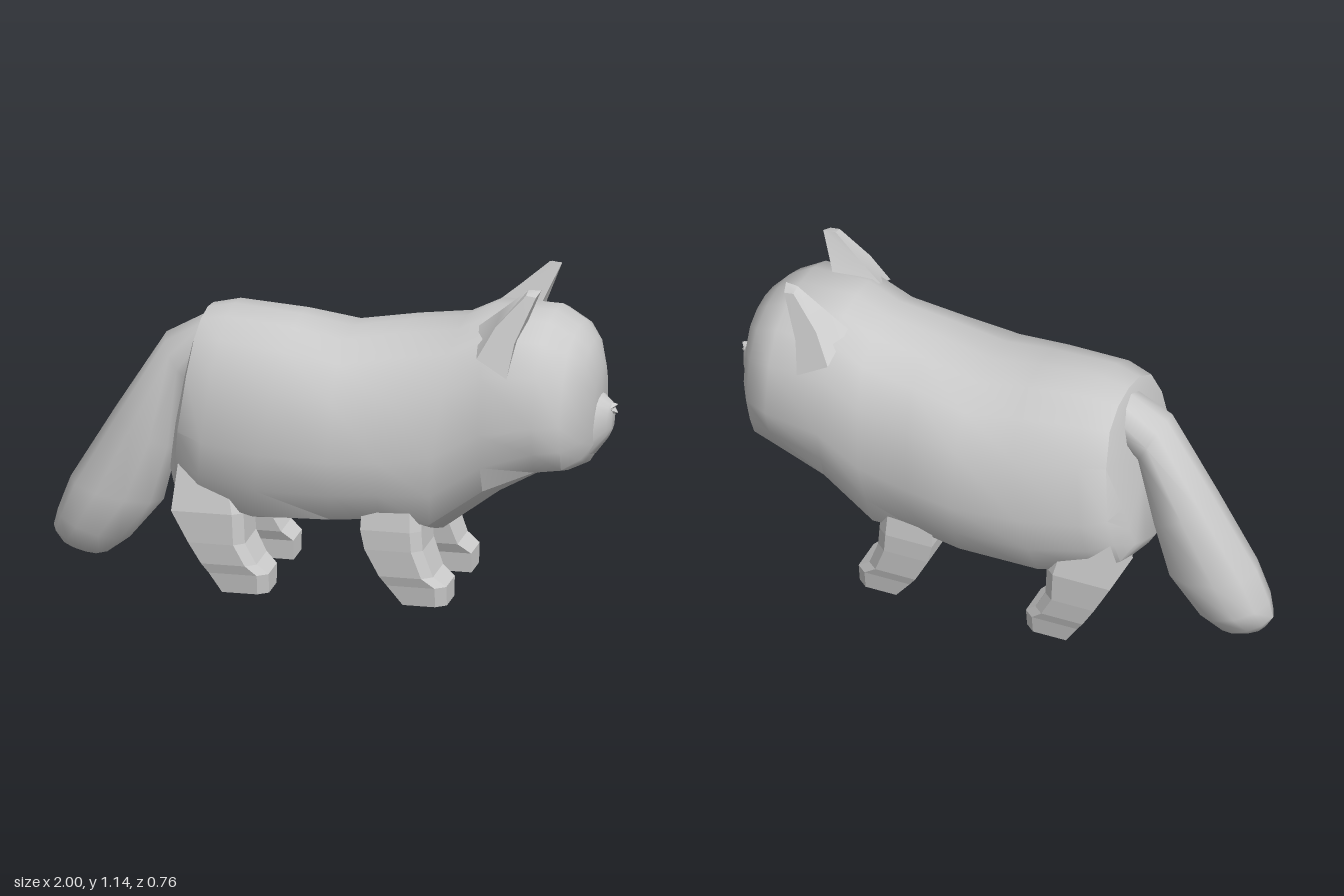
import * as THREE from 'three';
import { toCreasedNormals } from 'three/addons/utils/BufferGeometryUtils.js';

const SMOOTH = new THREE.MeshStandardMaterial({ color: 0xcccccc });
const FLAT = new THREE.MeshStandardMaterial({ color: 0xcccccc, flatShading: true });

// Closed skin over a row of equal-sized point loops, wound so that it faces outward
function loft(rings) {
  const n = rings[0].length;
  const pts = rings.flat().map((p) => new THREE.Vector3(...p));
  const tris = [];
  for (let r = 0; r < rings.length - 1; r++) {
    for (let i = 0; i < n; i++) {
      const a = r * n + i, b = r * n + (i + 1) % n;
      tris.push([a, b, b + n], [a, b + n, a + n]);
    }
  }
  const last = (rings.length - 1) * n;
  const centre = (start) => {
    const c = new THREE.Vector3();
    for (let i = 0; i < n; i++) c.addScaledVector(pts[start + i], 1 / n);
    return pts.push(c) - 1;
  };
  const c0 = centre(0), c1 = centre(last);
  for (let i = 0; i < n; i++) {
    const j = (i + 1) % n;
    tris.push([c0, j, i], [c1, last + i, last + j]);
  }
  const volume = tris.reduce((v, [a, b, c]) => v + pts[a].dot(pts[b].clone().cross(pts[c])), 0);
  const geometry = new THREE.BufferGeometry().setFromPoints(pts);
  geometry.setIndex(tris.flatMap(([a, b, c]) => (volume < 0 ? [a, c, b] : [a, b, c])));
  geometry.computeVertexNormals();
  return geometry;
}

// Half outline of a torso section as [width, height], from top to bottom
const HALF = [[0, 1], [0.33, 0.965], [0.64, 0.83], [0.86, 0.52], [1, 0], [0.91, -0.42], [0.8, -0.74], [0.42, -0.88], [0, -1]];
const OUTLINE = [...HALF, ...HALF.slice(1, -1).reverse().map(([w, h]) => [-w, h])];

// Leaning section: x at top and bottom, heights of top, widest line and bottom, half width
function section([xTop, xBot, top, mid, bot, w]) {
  return OUTLINE.map(([u, v]) => {
    const y = mid + v * (v > 0 ? top - mid : mid - bot);
    return [THREE.MathUtils.lerp(xBot, xTop, (y - bot) / (top - bot)), y, u * w];
  });
}

export function createModel() {
  const model = new THREE.Group();
  const add = (name, geometry, crease) => {
    const mesh = new THREE.Mesh(crease ? toCreasedNormals(geometry, crease) : geometry, crease ? SMOOTH : FLAT);
    mesh.name = name;
    model.add(mesh);
  };

  // Torso and head in one skin
  add('bodyAndHead', loft([
    [-0.47, -0.56, 0.9, 0.58, 0.34, 0.2],
    [-0.455, -0.53, 0.94, 0.57, 0.29, 0.28],
    [-0.36, -0.44, 0.96, 0.55, 0.25, 0.32],
    [-0.12, -0.25, 0.94, 0.53, 0.2, 0.355],
    [0.06, 0.05, 0.91, 0.53, 0.22, 0.38],
    [0.27, 0.2, 0.95, 0.53, 0.23, 0.35],
    [0.46, 0.38, 0.975, 0.56, 0.2, 0.338],
    [0.57, 0.58, 1.03, 0.65, 0.35, 0.325],
    [0.78, 0.76, 1.02, 0.69, 0.45, 0.335],
    [0.865, 0.85, 0.97, 0.69, 0.455, 0.295],
    [0.915, 0.9, 0.92, 0.69, 0.48, 0.2],
    [0.945, 0.93, 0.83, 0.68, 0.53, 0.11],
  ].map(section)), 0.9);

  // Muzzle
  add('muzzle', loft([
    [0.86, 0.85, 0.77, 0.64, 0.48, 0.2],
    [0.93, 0.92, 0.73, 0.63, 0.51, 0.115],
    [0.975, 0.965, 0.7, 0.64, 0.57, 0.055],
    [0.985, 0.98, 0.685, 0.645, 0.6, 0.03],
  ].map(section)), 0.9);

  // Nose
  const nose = [[0.705, 0], [0.69, 0.045], [0.675, 0.045], [0.648, 0], [0.675, -0.045], [0.69, -0.045]];
  add('nose', loft([
    nose.map(([y, z]) => [0.95, y, z]),
    nose.map(([y, z]) => [1 - Math.abs(z) * 0.4, 0.68 + (y - 0.68) * 0.55, z * 0.6]),
  ]));

  // Tail, sloping down behind: upper edge, lower edge, half width
  const tail = [
    [-0.44, 0.93, -0.44, 0.74, 0.085],
    [-0.6, 0.84, -0.51, 0.68, 0.105],
    [-0.78, 0.555, -0.56, 0.43, 0.115],
    [-0.94, 0.29, -0.61, 0.23, 0.12],
    [-0.985, 0.17, -0.73, 0.085, 0.11],
    [-1, 0.11, -0.81, 0.025, 0.075],
    [-0.97, 0.06, -0.83, 0.02, 0.045],
  ];
  add('tail', loft(tail.map(([x0, y0, x1, y1, w]) => Array.from({ length: 10 }, (_, i) => {
    const a = (i / 10) * Math.PI * 2, t = 0.5 - 0.5 * Math.cos(a);
    return [x0 + (x1 - x0) * t, y0 + (y1 - y0) * t, Math.sin(a) * w * 1.05];
  }))), 0.9);

  // Leg levels: height, back x, front x, inner z, outer z
  const legs = {
    front: [
      [0.4, 0.16, 0.36, 0.1, 0.28], [0.27, 0.155, 0.365, 0.1, 0.3], [0.2, 0.17, 0.37, 0.1, 0.3],
      [0.105, 0.22, 0.405, 0.11, 0.295], [0.07, 0.245, 0.45, 0.125, 0.285], [0, 0.3, 0.45, 0.13, 0.275],
    ],
    back: [
      [0.45, -0.5, -0.3, 0.1, 0.26], [0.29, -0.515, -0.265, 0.1, 0.3], [0.18, -0.455, -0.26, 0.1, 0.3],
      [0.105, -0.41, -0.22, 0.11, 0.295], [0.07, -0.385, -0.18, 0.125, 0.285], [0, -0.34, -0.18, 0.13, 0.275],
    ],
  };

  for (const [side, s] of [['left', -1], ['right', 1]]) {
    // Legs
    for (const [end, levels] of Object.entries(legs)) {
      add(`${end}${side === 'left' ? 'Left' : 'Right'}Leg`, loft(levels.map(([y, x0, x1, z0, z1]) => [
        [x0, y, s * z0], [x1, y, s * z0], [x1, y, s * (z1 - 0.03)], [x1 - 0.035, y, s * z1], [x0, y, s * z1],
      ])));
    }

    // Ears: inner front, outer front, outer back, inner back
    add(`${side}Ear`, loft([
      [[0.69, 0.97, 0.09], [0.67, 0.85, 0.285], [0.56, 0.91, 0.27], [0.54, 0.99, 0.14]],
      [[0.715, 1.03, 0.115], [0.69, 0.97, 0.25], [0.62, 1.02, 0.235], [0.62, 1.055, 0.15]],
      [[0.765, 1.14, 0.16], [0.755, 1.125, 0.2], [0.72, 1.13, 0.2], [0.72, 1.14, 0.165]],
    ].map((ring) => ring.map(([x, y, z]) => [x, y, s * z]))), 0.8);

    // Eyes: thin plates following the curve of the face
    const eye = [[0.783, 0.178], [0.74, 0.178], [0.725, 0.135], [0.742, 0.095], [0.77, 0.087], [0.78, 0.13]];
    add(`${side}Eye`, loft([0.86, 0.925].map((x) => eye.map(([y, z]) => [x - (z - 0.087) * 0.3, y, s * z]))));
  }
  return model;
}
